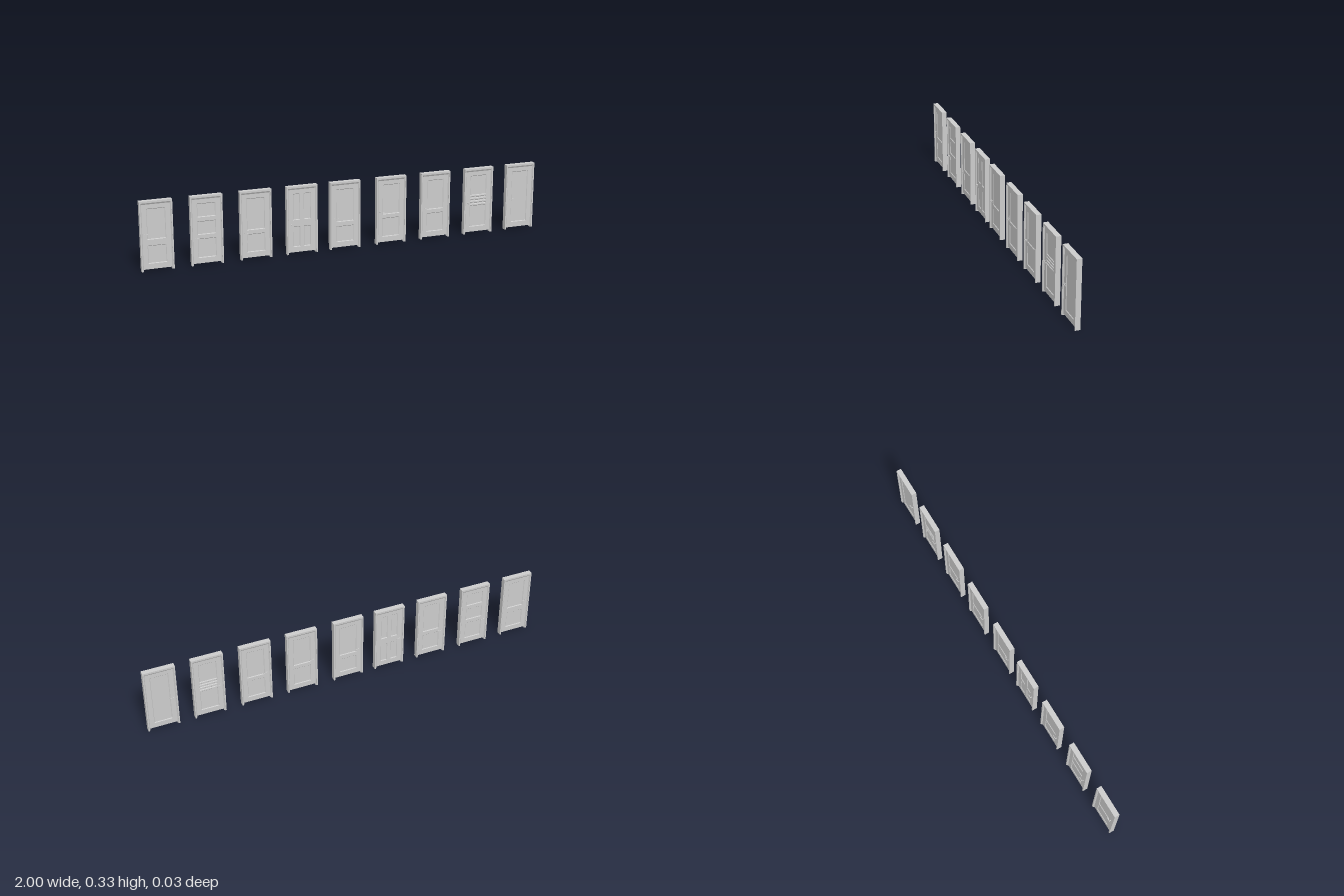
import * as THREE from 'three';

const mat = new THREE.MeshStandardMaterial({ color: 0xcccccc, flatShading: true });

// Door sizes
const H = 0.334, HALF = 0.0765, DEPTH = 0.0125;   // casing
const LEAF_W = 0.066, LEAF_Z = 0.0065, LEAF_BOTTOM = 0.009, LEAF_TOP = 0.317;
const PANEL_X = 0.044, TOP = 0.297, BOTTOM = 0.035, PANEL_Z = 0.0035;

// One entry per door: centre x, handle height, panels as [yLow, yHigh], columns
const doors = [
  { x: -0.9235, handle: 0.178, panels: [[BOTTOM, 0.122], [0.15, TOP]] },
  { x: -0.689, handle: 0.13, panels: [[BOTTOM, 0.128], [0.147, 0.212], [0.231, TOP]] },
  { x: -0.453, handle: 0.13, panels: [[BOTTOM, 0.124], [0.143, TOP]] },
  { x: -0.226, handle: 0.148, panels: [[BOTTOM, 0.136], [0.168, TOP]], columns: 2 },
  { x: -0.009, handle: 0.152, panels: [[BOTTOM, 0.114], [0.135, TOP]] },
  { x: 0.229, handle: 0.16, panels: [[BOTTOM, 0.13], [0.148, TOP]] },
  { x: 0.462, handle: 0.157, panels: [[BOTTOM, 0.13], [0.148, TOP]] },
  { x: 0.695, handle: 0.157, panels: [[BOTTOM, 0.145], [0.151, 0.16], [0.166, 0.175], [0.181, 0.19], [0.196, TOP]] },
  { x: 0.9235, handle: 0.157, panels: [[BOTTOM, TOP]] },
];

function add(parent, name, geometry, x = 0, y = 0, z = 0) {
  const mesh = new THREE.Mesh(geometry, mat);
  mesh.name = name;
  mesh.position.set(x, y, z);
  parent.add(mesh);
  return mesh;
}

function rectangle(Type, x0, x1, y0, y1) {
  return new Type([[x0, y0], [x1, y0], [x1, y1], [x0, y1]].map(p => new THREE.Vector2(...p)));
}

// Sloping strips between two outlines, facing +z (front) or -z (back)
function bevel(outer, inner, zOuter, zInner, closed, side) {
  const pos = [];
  const n = closed ? outer.length : outer.length - 1;
  for (let i = 0; i < n; i++) {
    const j = (i + 1) % outer.length;
    const a = [...outer[i], zOuter * side], b = [...outer[j], zOuter * side];
    const c = [...inner[j], zInner * side], d = [...inner[i], zInner * side];
    const order = side > 0 ? [a, b, c, a, c, d] : [a, c, b, a, d, c];
    pos.push(...order.flat());
  }
  const g = new THREE.BufferGeometry();
  g.setAttribute('position', new THREE.Float32BufferAttribute(pos, 3));
  g.computeVertexNormals();
  return g;
}

// Casing: jambs and head with an inner sloping moulding
function buildFrame() {
  const frame = new THREE.Group();
  frame.name = 'frame';
  const w = HALF - 0.006, top = H - 0.009;
  const shape = new THREE.Shape([[-HALF, 0], [-w, 0], [-w, top], [w, top], [w, 0], [HALF, 0], [HALF, H], [-HALF, H]]
    .map(p => new THREE.Vector2(...p)));
  add(frame, 'casing', new THREE.ExtrudeGeometry(shape, { depth: DEPTH * 2, bevelEnabled: false }), 0, 0, -DEPTH);
  const outer = [[w, 0], [w, top], [-w, top], [-w, 0]];
  const inner = [[LEAF_W, 0], [LEAF_W, LEAF_TOP], [-LEAF_W, LEAF_TOP], [-LEAF_W, 0]];
  for (const side of [1, -1]) {
    add(frame, 'frameMoulding', bevel(outer, inner, DEPTH - 0.001, LEAF_Z, false, side));
  }
  // Inner lining of the opening
  const lining = w - LEAF_W;
  for (const s of [1, -1]) {
    add(frame, 'jambLining', new THREE.BoxGeometry(lining, top, LEAF_Z * 2), s * (LEAF_W + lining / 2), top / 2);
  }
  add(frame, 'headLining', new THREE.BoxGeometry(LEAF_W * 2, top - LEAF_TOP, LEAF_Z * 2), 0, (top + LEAF_TOP) / 2);
  return frame;
}

// Door leaf: stiles and rails around recessed panels
function buildLeaf({ panels, columns = 1 }) {
  const leaf = new THREE.Group();
  leaf.name = 'leaf';
  const shape = rectangle(THREE.Shape, -LEAF_W, LEAF_W, LEAF_BOTTOM, LEAF_TOP);
  const spans = columns === 2 ? [[-PANEL_X, -0.009], [0.009, PANEL_X]] : [[-PANEL_X, PANEL_X]];
  for (const [y0, y1] of panels) {
    for (const [x0, x1] of spans) {
      shape.holes.push(rectangle(THREE.Path, x0, x1, y0, y1));
      add(leaf, 'panel', new THREE.BoxGeometry(x1 - x0, y1 - y0, PANEL_Z * 2), (x0 + x1) / 2, (y0 + y1) / 2);
      const i = Math.min(0.003, (y1 - y0) * 0.3);
      const outer = [[x0, y0], [x1, y0], [x1, y1], [x0, y1]];
      const inner = [[x0 + i, y0 + i], [x1 - i, y0 + i], [x1 - i, y1 - i], [x0 + i, y1 - i]];
      for (const side of [1, -1]) {
        add(leaf, 'panelMoulding', bevel(outer, inner, LEAF_Z, PANEL_Z, true, side));
      }
    }
  }
  add(leaf, 'stilesAndRails', new THREE.ExtrudeGeometry(shape, { depth: LEAF_Z * 2, bevelEnabled: false }), 0, 0, -LEAF_Z);
  return leaf;
}

// Lever handle: rosette, spindle and lever on both faces
function buildHandle(y) {
  const handle = new THREE.Group();
  handle.name = 'handle';
  handle.position.set(-0.055, y, 0);
  for (const side of [1, -1]) {
    const rosette = add(handle, 'rosette', new THREE.CylinderGeometry(0.0045, 0.0045, 0.0015, 12), 0, 0, side * (LEAF_Z + 0.0007));
    const spindle = add(handle, 'spindle', new THREE.CylinderGeometry(0.0016, 0.0016, 0.007, 8), 0, 0, side * (LEAF_Z + 0.004));
    rosette.rotation.x = spindle.rotation.x = Math.PI / 2;
    add(handle, 'lever', new THREE.BoxGeometry(0.021, 0.003, 0.0025), 0.009, 0, side * 0.0135);
  }
  return handle;
}

export function createModel() {
  const model = new THREE.Group();
  model.name = 'doorSet';
  for (const spec of doors) {
    const door = new THREE.Group();
    door.name = 'door';
    door.position.x = spec.x;
    door.add(buildFrame(), buildLeaf(spec), buildHandle(spec.handle));
    model.add(door);
  }
  return model;
}
